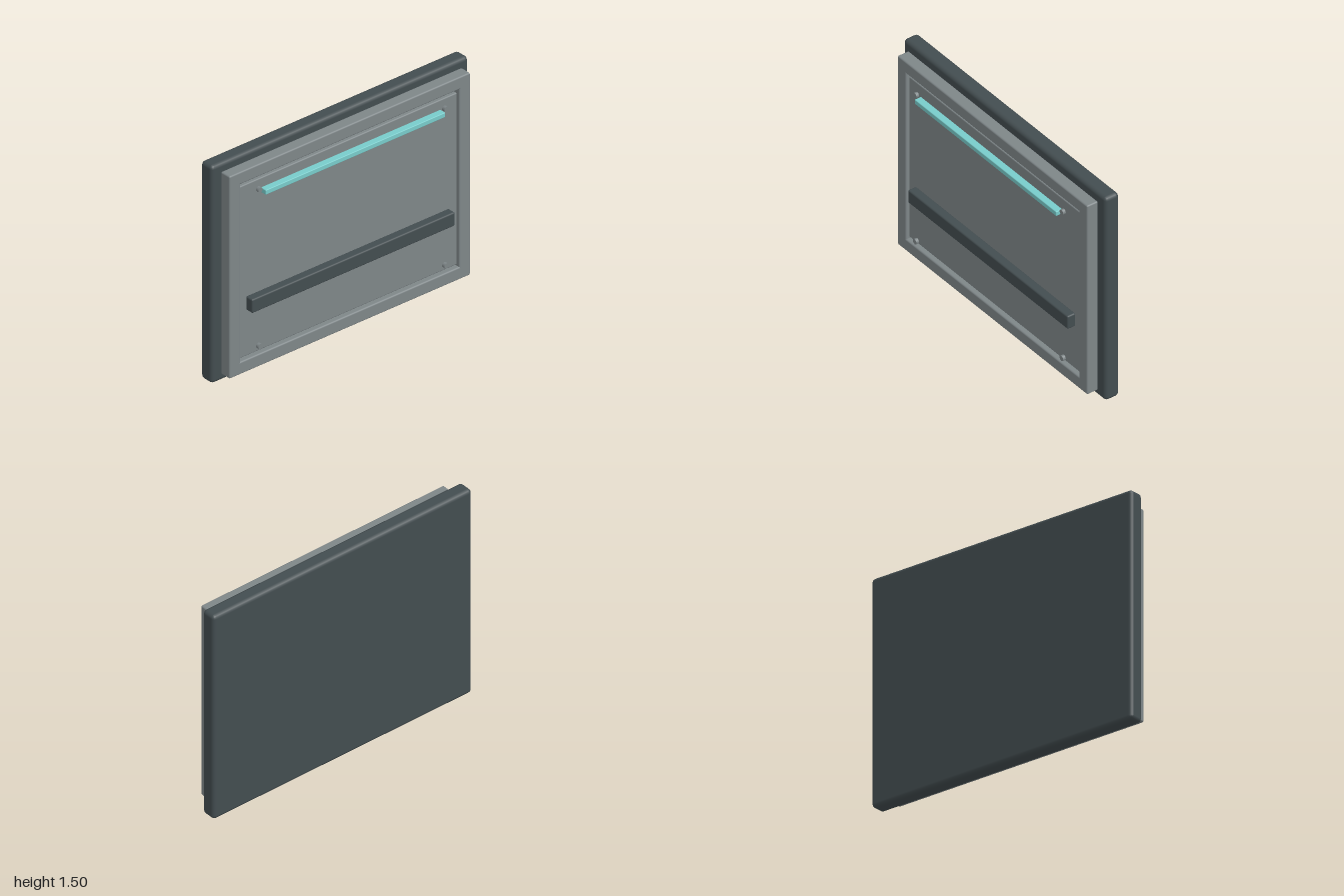
import * as THREE from 'three';
import { RoundedBoxGeometry } from 'three/addons/geometries/RoundedBoxGeometry.js';

export function createModel() {
  const group = new THREE.Group();
  const material = (name, color) => {
    const m = new THREE.MeshStandardMaterial({ color });
    m.name = name;
    return m;
  };
  const charcoal = material('charcoal', 0x434d50);
  const grey = material('steel grey', 0x7e8688);
  const teal = material('teal', 0x78cbca);

  const add = (name, geometry, mat, x, y, z) => {
    const mesh = new THREE.Mesh(geometry, mat);
    mesh.name = name;
    mesh.position.set(x, y, z);
    group.add(mesh);
  };
  // Rounded box given by its minimum and maximum on each axis
  const slab = (name, mat, [x0, x1], [y0, y1], [z0, z1], radius) =>
    add(name, new RoundedBoxGeometry(x1 - x0, y1 - y0, z1 - z0, 2, radius), mat,
      (x0 + x1) / 2, (y0 + y1) / 2, (z0 + z1) / 2);

  // Back plate and recessed panel
  slab('backPlate', charcoal, [-1, 1], [0, 1.5], [-0.122, -0.018], 0.025);
  slab('innerPanel', grey, [-0.868, 0.868], [0.145, 1.33], [-0.025, 0.045], 0.008);

  // Frame of four bars
  const frameDepth = [-0.01, 0.072];
  slab('frameTop', grey, [-0.938, 0.938], [1.365, 1.45], frameDepth, 0.01);
  slab('frameBottom', grey, [-0.938, 0.938], [0.055, 0.14], frameDepth, 0.01);
  slab('frameRight', grey, [-0.938, -0.853], [0.1, 1.41], frameDepth, 0.01);
  slab('frameLeft', grey, [0.853, 0.938], [0.1, 1.41], frameDepth, 0.01);

  // Light strip and handrail
  slab('lightStrip', teal, [-0.7, 0.7], [1.257, 1.29], [0.076, 0.124], 0.005);
  slab('handrail', charcoal, [-0.79, 0.79], [0.465, 0.56], [0.045, 0.106], 0.01);

  // Corner bolts
  const boltGeometry = new THREE.CylinderGeometry(0.018, 0.018, 0.02, 10).rotateX(Math.PI / 2);
  for (const x of [-0.725, 0.725])
    for (const y of [0.213, 1.293]) add('bolt', boltGeometry, grey, x, y, 0.094);

  return group;
}
